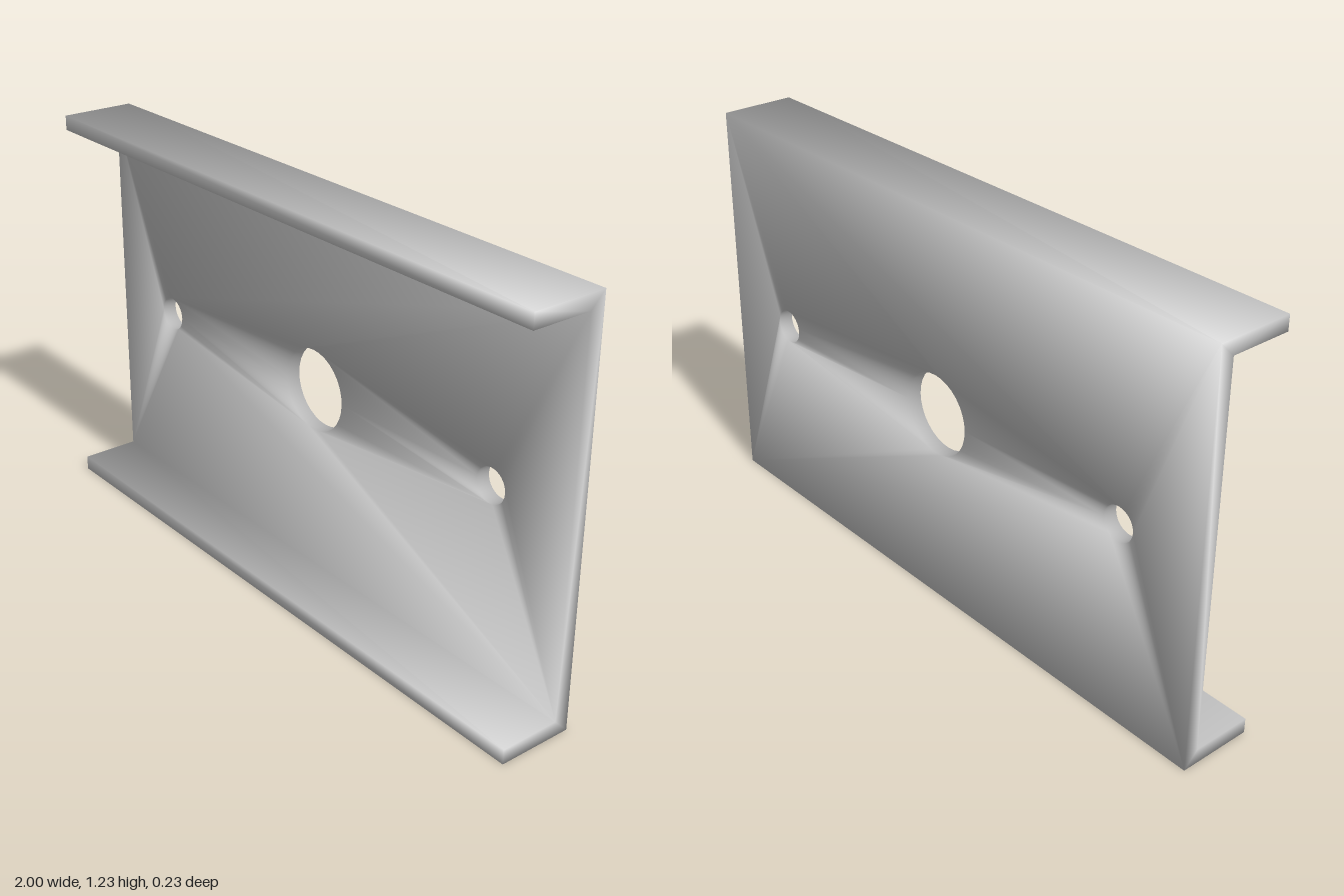
import * as THREE from 'three';
import { mergeVertices } from 'three/addons/utils/BufferGeometryUtils.js';

const HALF = 1, HEIGHT = 1.23, THICK = 0.045;
const FRONT = 0.115, BACK = -0.115, WEB = BACK + THICK;
const HOLES = [[0, 0.125], [-0.72, 0.052], [0.72, 0.052]]; // x, radius
const SEGMENTS = 32;

// Smooth normals shared by all faces at a corner, weighted by face angle
function smoothByAngle(geometry) {
  const { index, attributes: { position } } = geometry;
  const normals = Array.from({ length: position.count }, () => new THREE.Vector3());
  const triangle = new THREE.Triangle(), faceNormal = new THREE.Vector3();
  for (let i = 0; i < index.count; i += 3) {
    const ids = [0, 1, 2].map((k) => index.getX(i + k));
    triangle.setFromAttributeAndIndices(position, ...ids);
    triangle.getNormal(faceNormal);
    const corners = [triangle.a, triangle.b, triangle.c];
    ids.forEach((id, k) => {
      const u = corners[(k + 1) % 3].clone().sub(corners[k]);
      const v = corners[(k + 2) % 3].clone().sub(corners[k]);
      normals[id].addScaledVector(faceNormal, u.angleTo(v));
    });
  }
  const values = normals.flatMap((n) => n.normalize().toArray());
  geometry.setAttribute('normal', new THREE.Float32BufferAttribute(values, 3));
}

export function createModel() {
  const points = [];
  const quad = (a, b, c, d) => points.push(a, b, c, a, c, d);

  // Flat face from an outline with holes, placed in space by a function
  const sheet = (outline, holes, place, flip) => {
    const all = [outline, ...holes].flat();
    for (const [a, b, c] of THREE.ShapeUtils.triangulateShape(outline, holes)) {
      points.push(...(flip ? [c, b, a] : [a, b, c]).map((i) => place(all[i])));
    }
  };

  // C-shaped cross-section (z, y), running counterclockwise
  const profile = [
    [BACK, 0], [FRONT, 0], [FRONT, THICK], [WEB, THICK],
    [WEB, HEIGHT - THICK], [FRONT, HEIGHT - THICK], [FRONT, HEIGHT], [BACK, HEIGHT],
  ].map(([z, y]) => new THREE.Vector2(z, y));
  const atX = (x) => (p) => new THREE.Vector3(x, p.y, p.x);
  const atZ = (z) => (p) => new THREE.Vector3(p.x, p.y, z);

  // End caps
  sheet(profile, [], atX(-HALF), false);
  sheet(profile, [], atX(HALF), true);

  // Flange faces; the two upright web faces are made below
  const left = atX(HALF), right = atX(-HALF);
  profile.forEach((p, i) => {
    const q = profile[(i + 1) % profile.length];
    if (i % 4 !== 3) quad(left(p), left(q), right(q), right(p));
  });

  // Web faces with a large centre hole and two bolt holes
  const circles = HOLES.map(([x, radius]) => Array.from({ length: SEGMENTS }, (_, i) => {
    const angle = (i / SEGMENTS) * Math.PI * 2;
    return new THREE.Vector2(x + radius * Math.cos(angle), HEIGHT / 2 + radius * Math.sin(angle));
  }));
  const rectangle = (low, high) => [[-HALF, low], [HALF, low], [HALF, high], [-HALF, high]]
    .map(([x, y]) => new THREE.Vector2(x, y));
  sheet(rectangle(THICK, HEIGHT - THICK), circles, atZ(WEB), false);
  sheet(rectangle(0, HEIGHT), circles, atZ(BACK), true);

  // Hole walls
  const near = atZ(WEB), far = atZ(BACK);
  for (const circle of circles) {
    circle.forEach((p, i) => {
      const q = circle[(i + 1) % SEGMENTS];
      quad(near(p), near(q), far(q), far(p));
    });
  }

  const geometry = mergeVertices(new THREE.BufferGeometry().setFromPoints(points), 1e-5);
  smoothByAngle(geometry);

  const channel = new THREE.Mesh(geometry, new THREE.MeshStandardMaterial({ color: 0xcccccc }));
  channel.name = 'channelPlate';
  const group = new THREE.Group();
  group.name = 'channelBracket';
  group.add(channel);
  return group;
}
